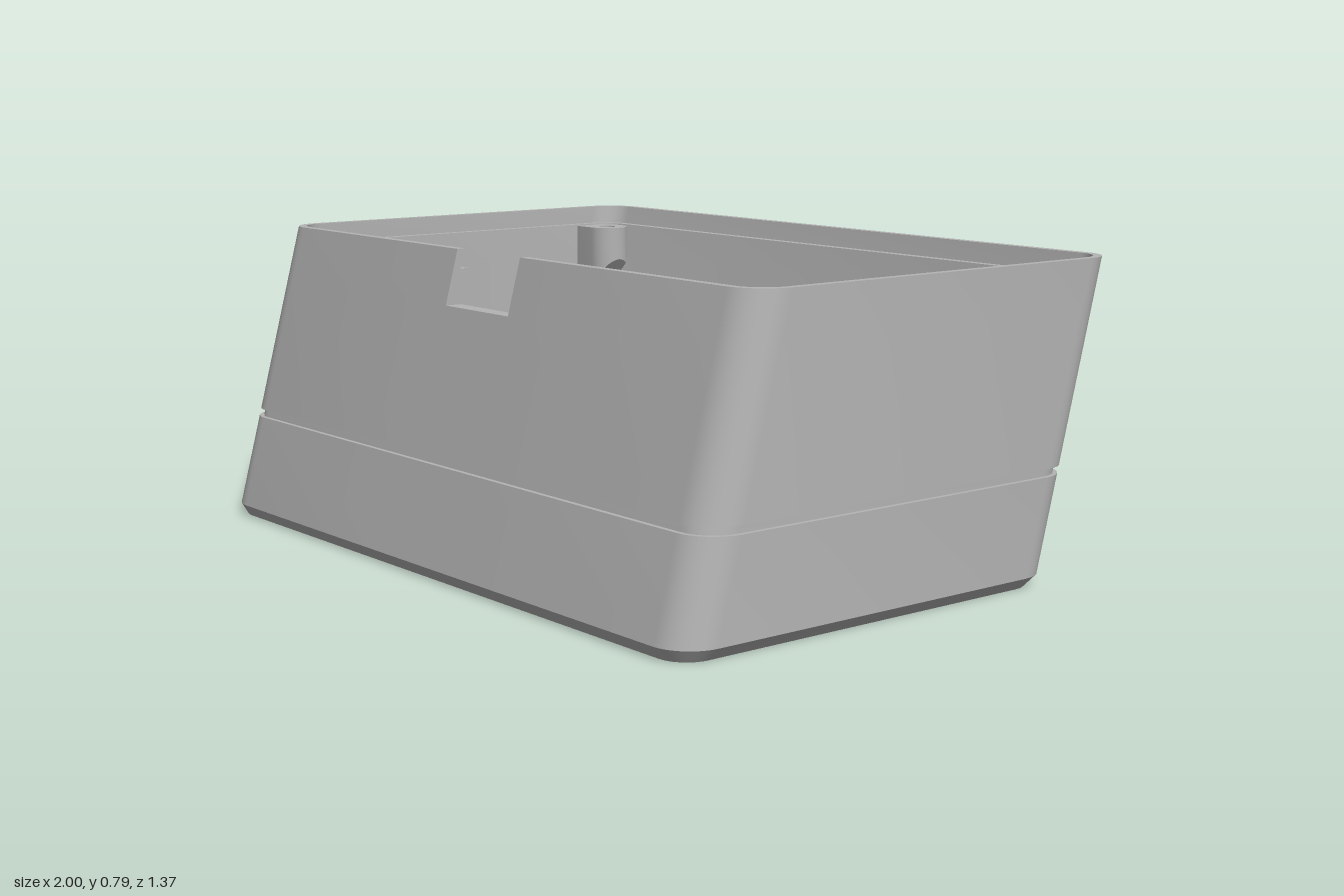
import * as THREE from 'three';
import { toCreasedNormals } from 'three/addons/utils/BufferGeometryUtils.js';

const HX = 1, HZ = 0.585, R = 0.1;      // outer half sizes and corner radius
const RIM = 0.022, WALL = 0.045;        // rim and wall thickness
const TOP = 0.79, LEDGE = 0.74, FLOOR = 0.055;
const NOTCH_X = 0.135, NOTCH_Y = 0.65;
const ARC = 8;
const NOTCH_SEGMENT = ARC + 1;          // loop segment replaced by the notch

// The box leans back by 15 degrees
const lean = (y) => 0.268 * (0.41 - y);

// Rounded rectangle [x, z], with two extra points on the front side
function loop(hx, hz, r, zc) {
  const pts = [];
  [[1, 1], [-1, 1], [-1, -1], [1, -1]].forEach(([sx, sz], k) => {
    for (let i = 0; i <= ARC; i++) {
      const a = (k + i / ARC) * Math.PI / 2;
      pts.push([sx * (hx - r) + r * Math.cos(a), zc + sz * (hz - r) + r * Math.sin(a)]);
    }
    if (k === 0) pts.push([NOTCH_X, zc + hz], [-NOTCH_X, zc + hz]);
  });
  return pts;
}
const section = (inset, y) => loop(HX - inset, HZ - inset, R - inset, lean(y));

// Skin a list of { y, pts } rows; skip(row, segment) leaves quads out
function loft(rows, skip = () => false) {
  const pos = [], n = rows[0].pts.length;
  for (let j = 0; j < rows.length - 1; j++) {
    for (let i = 0; i < n; i++) {
      if (skip(j, i)) continue;
      const at = (row, k) => [row.pts[k % n][0], row.y, row.pts[k % n][1]];
      const a = at(rows[j], i), b = at(rows[j], i + 1);
      const c = at(rows[j + 1], i + 1), d = at(rows[j + 1], i);
      pos.push(...a, ...d, ...c, ...a, ...c, ...b);
    }
  }
  const g = new THREE.BufferGeometry();
  g.setAttribute('position', new THREE.Float32BufferAttribute(pos, 3));
  return toCreasedNormals(g, 0.5);
}

// Flat plate with a window, facing up or down
function plate(outer, hole, y, up) {
  const s = up ? -1 : 1;
  const vec = (p) => new THREE.Vector2(p[0], s * p[1]);
  const shape = new THREE.Shape(outer.map(vec));
  shape.holes.push(new THREE.Path(hole.map(vec)));
  return new THREE.ShapeGeometry(shape).rotateX(s * Math.PI / 2).translate(0, y, 0);
}

// Screw boss joined to the side wall, with a sloping underside
function bossGeometry(side, z) {
  const cx = 0.883, r = 0.06, edge = 0.965;
  const shape = new THREE.Shape();
  shape.moveTo(side * edge, r);
  for (let i = 0; i <= 16; i++) {
    const a = Math.PI / 2 + Math.PI * i / 16;
    shape.lineTo(side * (cx + r * Math.cos(a)), r * Math.sin(a));
  }
  shape.lineTo(side * edge, -r);
  const hole = new THREE.Path();
  hole.absarc(side * cx, 0, 0.025, 0, Math.PI * 2);
  shape.holes.push(hole);
  const g = new THREE.ExtrudeGeometry(shape, { depth: 1, bevelEnabled: false, curveSegments: 10 });
  g.rotateX(-Math.PI / 2).translate(0, 0, z);
  const p = g.attributes.position;
  for (let i = 0; i < p.count; i++) {
    const t = (Math.abs(p.getX(i)) - (cx - r)) / (edge - cx + r);
    const y = p.getY(i) > 0.5 ? LEDGE - 0.004 : 0.64 - 0.2 * t;
    p.setY(i, y);
    // keep the boss within the back wall
    p.setZ(i, Math.max(p.getZ(i), lean(y) - HZ + RIM));
  }
  return toCreasedNormals(g, 0.6);
}

export function createModel() {
  const group = new THREE.Group();
  const grey = new THREE.MeshStandardMaterial({ color: 0xb4b4b4, side: THREE.DoubleSide });
  grey.name = 'grey plastic';
  const add = (name, geometry) => {
    const mesh = new THREE.Mesh(geometry, grey);
    mesh.name = name;
    group.add(mesh);
    return mesh;
  };

  // Walls: up the outside with chamfer and groove, over the rim, down the inside
  const profile = [
    [0.025, 0], [0, 0.03], [0, 0.27], [0.012, 0.27], [0.012, 0.29], [0, 0.29],
    [0, NOTCH_Y], [0, TOP], [RIM, TOP], [RIM, LEDGE], [WALL, LEDGE], [WALL, NOTCH_Y], [WALL, FLOOR],
  ];
  const rows = profile.map(([inset, y]) => ({ y, pts: section(inset, y) }));
  add('walls', loft(rows, (j, i) => i === NOTCH_SEGMENT && j >= 6 && j <= 10));

  // Notch in the front wall: sill and two cheeks
  const zSill = lean(NOTCH_Y) + HZ - WALL / 2;
  add('notchSill', new THREE.PlaneGeometry(2 * NOTCH_X, WALL).rotateX(-Math.PI / 2).translate(0, NOTCH_Y, zSill));
  const cheek = new THREE.Shape(profile.slice(6, 12).map(([inset, y]) =>
    new THREE.Vector2(-(lean(y) + HZ - inset), y)));
  for (const s of [-1, 1]) {
    add(s > 0 ? 'leftNotchCheek' : 'rightNotchCheek',
      new THREE.ShapeGeometry(cheek).rotateY(Math.PI / 2).translate(s * NOTCH_X, 0, 0));
  }

  // Base with a bevelled window
  const windowLow = loop(0.5, 0.386, 0.015, 0.093);
  const windowHigh = loop(0.457, 0.343, 0.015, 0.093);
  add('baseUnderside', plate(section(0.025, 0), windowLow, 0, false));
  add('floor', plate(section(WALL, FLOOR), windowHigh, FLOOR, true));
  add('windowBevel', loft([{ y: FLOOR, pts: windowHigh }, { y: 0, pts: windowLow }]));

  // Corner screw bosses
  for (const side of [-1, 1]) {
    for (const z of [-0.565, 0.38]) add('cornerBoss', bossGeometry(side, z));
  }

  // Small standoffs on the floor
  const ring = [[0.025, 0], [0.025, 0.05], [0.055, 0.05], [0.055, 0]]
    .map(([x, y]) => new THREE.Vector2(x, y)).reverse();
  const standoff = toCreasedNormals(new THREE.LatheGeometry(ring, 24), 0.6);
  for (const x of [-0.675, 0.54]) {
    for (const z of [-0.225, 0.433]) add('standoff', standoff).position.set(x, FLOOR, z);
  }
  return group;
}
